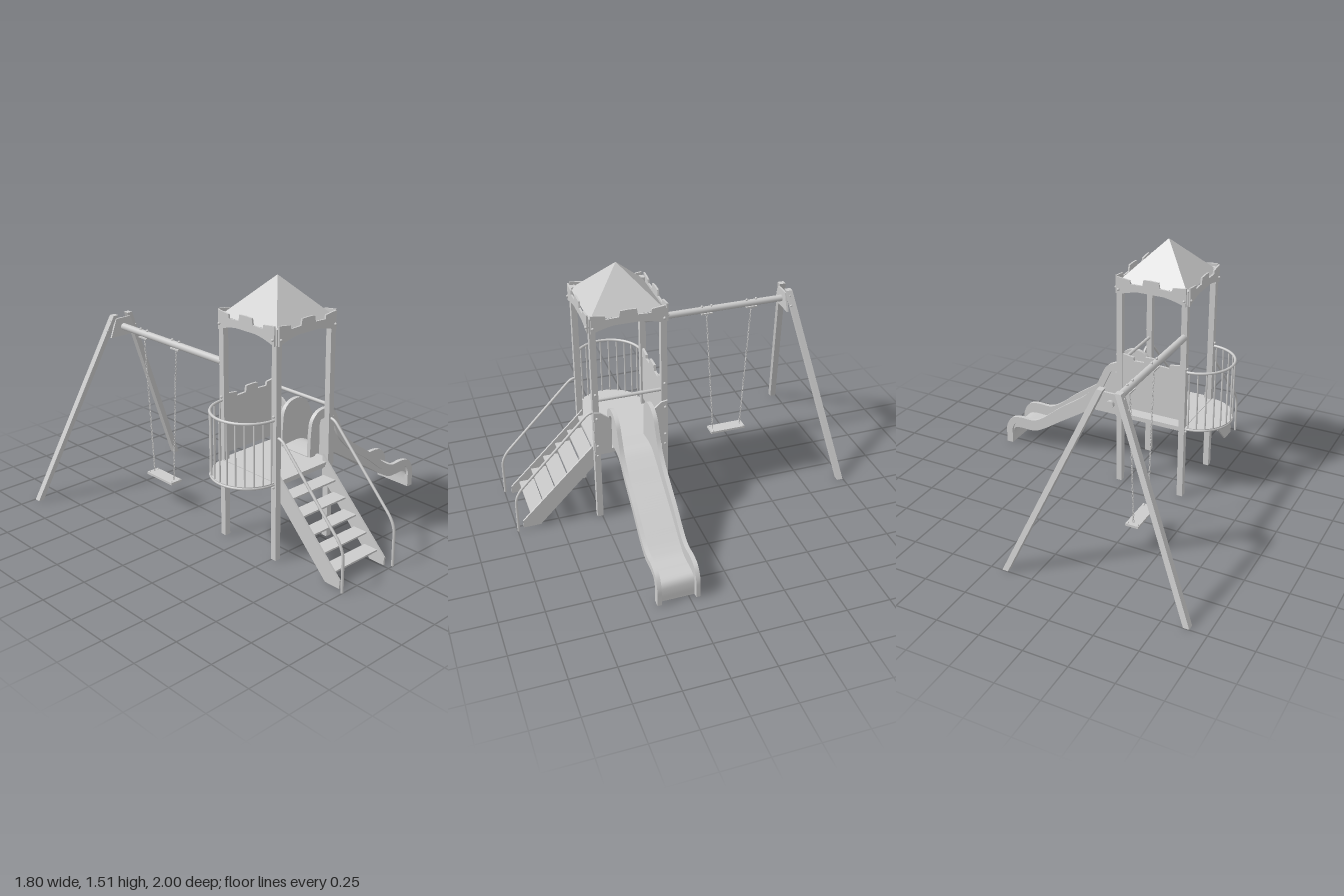
import * as THREE from 'three';
import { toCreasedNormals } from 'three/addons/utils/BufferGeometryUtils.js';

const CX = -0.16, CZ = 0.311, HALF = 0.2;
const V = (x, y, z) => new THREE.Vector3(x, y, z);

export function createModel() {
  const model = new THREE.Group();
  const mat = new THREE.MeshStandardMaterial({ color: 0xcccccc });
  const thin = new THREE.MeshStandardMaterial({ color: 0xcccccc, side: THREE.DoubleSide });

  const add = (name, geo, x = 0, y = 0, z = 0, m = mat, parent = model) => {
    const mesh = new THREE.Mesh(geo, m);
    mesh.name = name;
    mesh.position.set(x, y, z);
    parent.add(mesh);
    return mesh;
  };
  const box = (name, w, h, d, x, y, z) => add(name, new THREE.BoxGeometry(w, h, d), x, y, z);
  // flat board from [x, y] points, extruded about its mid plane
  const board = (pts, t) => {
    const shape = new THREE.Shape(pts.map(p => new THREE.Vector2(p[0], p[1])));
    const g = new THREE.ExtrudeGeometry(shape, { depth: t, bevelEnabled: false });
    return toCreasedNormals(g.translate(0, 0, -t / 2), 0.6);
  };
  // same board with its points read as [z, y]
  const sideBoard = (pts, t) => board(pts, t).rotateY(-Math.PI / 2);
  const rod = (name, a, b, r, sides = 10) => {
    const dir = b.clone().sub(a);
    const mesh = add(name, new THREE.CylinderGeometry(r, r, dir.length(), sides));
    mesh.position.copy(a).lerp(b, 0.5);
    mesh.quaternion.setFromUnitVectors(V(0, 1, 0), dir.normalize());
    return mesh;
  };
  const bolt = (x, y, z) => add('bolt', new THREE.SphereGeometry(0.008, 8, 6), x, y, z);
  // battlement outline: high middle, two notches, rising ends
  const crown = (h, top) => [[h, top - 0.008], [h * 0.62, top - 0.018], [h * 0.6, top - 0.04],
    [h * 0.25, top - 0.037], [h * 0.22, top - 0.002], [0, top], [-h * 0.22, top - 0.002],
    [-h * 0.25, top - 0.037], [-h * 0.6, top - 0.04], [-h * 0.62, top - 0.018], [-h, top - 0.008]];

  // Tower posts
  for (const sx of [-1, 1]) for (const sz of [-1, 1]) {
    const x = CX + sx * HALF, z = CZ + sz * HALF;
    box('post', 0.035, 1.3, 0.035, x, 0.65, z);
    for (const y of [0.43, 0.83]) bolt(x + sx * 0.02, y, z);
    bolt(x + sx * 0.03, 1.245, z);
    bolt(x, 1.245, z + sz * 0.03);
  }

  // Deck and the beams below it
  box('deck', 0.435, 0.015, 0.435, CX, 0.455, CZ);
  for (const s of [-1, 1]) {
    box('deckBeam', 0.37, 0.018, 0.02, CX, 0.44, CZ + s * HALF);
    box('deckBeam', 0.02, 0.018, 0.37, CX + s * HALF, 0.44, CZ);
  }

  // Roof with battlement boards on all four sides
  const roof = new THREE.ConeGeometry(0.21 * Math.SQRT2, 0.22, 4, 1, true).toNonIndexed();
  roof.computeVertexNormals();
  add('roof', roof.rotateY(Math.PI / 4), CX, 1.395, CZ, thin);
  const arch = [];
  for (let i = 0; i <= 16; i++) {
    const u = i / 8 - 1;
    arch.push([u * 0.21, 1.212 + 0.035 * Math.min(1, 1.15 * (1 - u * u))]);
  }
  const roofBoard = board([...arch, ...crown(0.21, 1.327)], 0.01);
  for (let i = 0; i < 4; i++) {
    const a = i * Math.PI / 2;
    add('roofBoard', roofBoard, CX + Math.sin(a) * 0.223, 0, CZ + Math.cos(a) * 0.223).rotation.y = a;
  }

  // Back wall panel
  add('backPanel', board([[-0.184, 0.5], [0.184, 0.5], ...crown(0.184, 0.852)], 0.014), CX, 0, CZ - HALF);

  // Half-round balcony
  const bx = -0.375, br = 0.2;
  const arcPoint = (t, r, y) => V(bx - r * Math.sin(t), y, CZ + r * Math.cos(t));
  const floor = new THREE.CylinderGeometry(br + 0.004, br + 0.004, 0.014, 32, 1, false, Math.PI, Math.PI);
  add('balconyFloor', floor, bx, 0.452, CZ, thin);
  for (const y of [0.447, 0.81]) {
    const pts = [];
    for (let i = 0; i <= 24; i++) pts.push(arcPoint(i / 24 * Math.PI, br, y));
    add('balconyRail', new THREE.TubeGeometry(new THREE.CatmullRomCurve3(pts), 48, 0.008, 8));
  }
  for (let i = 0; i <= 12; i++) {
    const t = (0.03 + 0.94 * i / 12) * Math.PI;
    rod('balconyBar', arcPoint(t, br, 0.447), arcPoint(t, br, 0.81), 0.005, 8);
  }

  // Stairs
  const stringer = sideBoard([[0.5, 0.365], [0.5, 0.5], [0.53, 0.47], [0.96, 0.045], [0.96, 0], [0.86, 0]], 0.012);
  for (const x of [-0.337, 0.014]) add('stairStringer', stringer, x);
  for (let i = 0; i < 5; i++) box('stairTread', 0.345, 0.01, 0.09, CX, 0.07 + i * 0.076, 0.866 - i * 0.078);

  // Stair handrails
  for (const x of [-0.36, 0.04]) {
    const path = new THREE.CurvePath();
    path.add(new THREE.QuadraticBezierCurve3(V(x, 0.71, 0.52), V(x, 0.715, 0.55), V(x, 0.68, 0.58)));
    path.add(new THREE.LineCurve3(V(x, 0.68, 0.58), V(x, 0.305, 0.94)));
    path.add(new THREE.QuadraticBezierCurve3(V(x, 0.305, 0.94), V(x, 0.25, 0.995), V(x, 0.19, 0.995)));
    path.add(new THREE.LineCurve3(V(x, 0.19, 0.995), V(x, 0, 0.995)));
    add('handrail', new THREE.TubeGeometry(path, 60, 0.008, 8), 0, 0, 0, thin);
  }

  // Slide entrance: cross bar and two wing panels
  rod('slideBar', V(0.041, 0.785, CZ - HALF), V(0.041, 0.785, CZ + HALF), 0.01);
  for (const s of [-1, 1]) {
    const wing = [[0.215, 0.44], [0.215, 0.72], [0.18, 0.715], [0.125, 0.67], [0.118, 0.64], [0.118, 0.44]]
      .map(([z, y]) => [CZ + s * z, y]);
    add('slideWing', sideBoard(wing, 0.012), 0.062);
    for (const y of [0.5, 0.68]) bolt(0.069, y, CZ + s * HALF);
  }

  // Slide: side walls, outward lips along their top, and the bed
  const smooth = pts => new THREE.CatmullRomCurve3(pts.map(p => V(p[0], p[1], 0))).getSpacedPoints(70);
  const upper = smooth([[-0.02, 0.465], [-0.015, 0.6], [0, 0.68], [0.045, 0.72], [0.115, 0.727], [0.175, 0.692],
    [0.21, 0.625], [0.25, 0.545], [0.32, 0.465], [0.5, 0.335], [0.64, 0.225], [0.7, 0.197], [0.8, 0.196],
    [0.86, 0.178], [0.897, 0.115], [0.9, 0.05], [0.9, 0]]);
  const lower = smooth([[-0.02, 0.455], [0.06, 0.463], [0.13, 0.46], [0.2, 0.425], [0.3, 0.362], [0.5, 0.235],
    [0.64, 0.143], [0.7, 0.116], [0.82, 0.112], [0.85, 0.1], [0.86, 0.06], [0.86, 0]]);
  const xy = p => [p.x, p.y];
  // closed strip between a line and its offset
  const band = (line, d) => {
    const off = line.map((p, i) => {
      const t = line[Math.min(i + 1, line.length - 1)].clone().sub(line[Math.max(i - 1, 0)]).normalize();
      return [p.x - t.y * d, p.y + t.x * d];
    });
    return [...line.map(xy), ...off.reverse()];
  };
  const wall = board([...upper.map(xy), ...lower.map(xy).reverse()], 0.008);
  const lip = board(band(upper, -0.042), 0.024);
  const slideZ = 0.312;
  for (const s of [-1, 1]) {
    add('slideWall', wall, 0, 0, slideZ + s * 0.1);
    add('slideLip', lip, 0, 0, slideZ + s * 0.108);
  }
  add('slideBed', board(band(lower, 0.012), 0.2), 0, 0, slideZ);

  // Swing beam
  const sx = -0.36, beamY = 1.025;
  rod('swingBeam', V(sx, beamY, 0.1), V(sx, beamY, -0.8), 0.02, 16);

  // Slanted swing legs, cut level at both ends
  for (const s of [-1, 1]) {
    const leg = new THREE.BoxGeometry(0.034, 1.1, 0.037).translate(0, 0.55, 0);
    const p = leg.attributes.position;
    for (let i = 0; i < p.count; i++) {
      const k = p.getY(i) / 1.1;
      p.setX(i, p.getX(i) + s * (0.525 - 0.475 * k));
      p.setZ(i, p.getZ(i) - 0.98 + 0.19 * k);
    }
    leg.computeVertexNormals();
    add('swingLeg', leg, sx);
    bolt(sx + s * 0.075, 1.07, -0.79);
    bolt(sx + s * 0.1, 1.015, -0.79);
  }
  const plate = board([[-0.09, 0.972], [0.09, 0.972], [0.05, 1.08], [-0.05, 1.08]], 0.012);
  add('legBracket', plate, sx, 0, -0.775);

  // Swing seat and its chains
  const seatZ = -0.432;
  box('swingSeat', 0.078, 0.014, 0.225, sx, 0.168, seatZ);
  const link = new THREE.TorusGeometry(0.006, 0.002, 5, 8).scale(0.8, 2, 1);
  for (const s of [-1, 1]) {
    const top = V(sx, 0.995, seatZ + s * 0.142), end = V(sx, 0.18, seatZ + s * 0.09);
    box('hangerPlate', 0.03, 0.008, 0.07, sx, 1.001, top.z);
    for (const d of [-0.03, 0.03]) bolt(sx, 1.048, top.z + d);
    for (const d of [-0.03, 0.03]) bolt(sx + d, 0.174, seatZ + s * 0.1);
    const chain = new THREE.Group();
    chain.name = 'swingChain';
    chain.position.copy(end);
    chain.quaternion.setFromUnitVectors(V(0, 1, 0), top.clone().sub(end).normalize());
    const n = 40, len = top.distanceTo(end);
    for (let i = 0; i < n; i++) {
      add('chainLink', link, 0, (i + 0.5) * len / n, 0, mat, chain).rotation.y = (i % 2) * Math.PI / 2;
    }
    model.add(chain);
  }
  return model;
}
